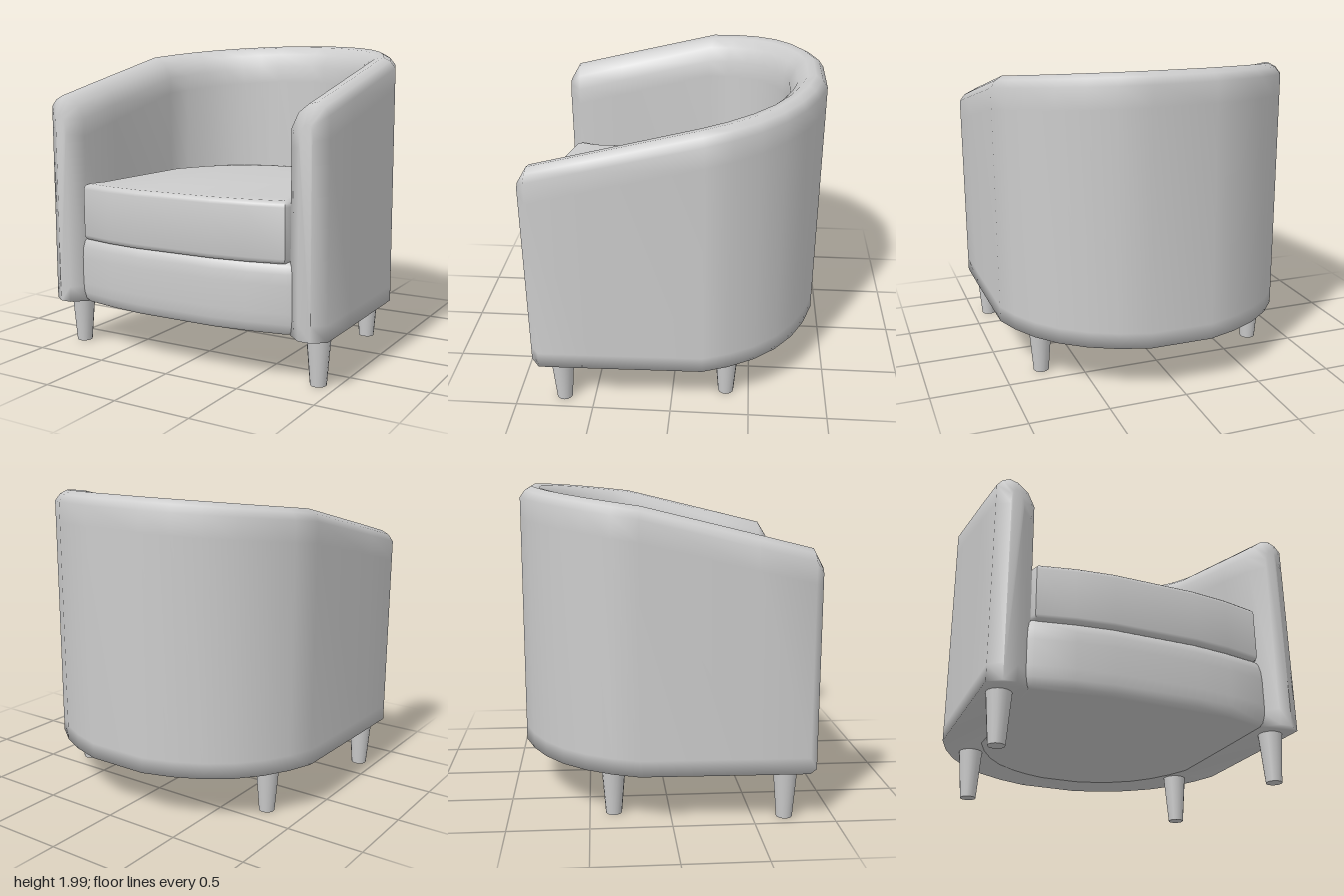
import * as THREE from 'three';
import { toCreasedNormals } from 'three/addons/utils/BufferGeometryUtils.js';

const material = new THREE.MeshStandardMaterial({ color: 0xcccccc });
const BOTTOM = 0.31;

function addMesh(group, name, geometry) {
  const mesh = new THREE.Mesh(geometry, material);
  mesh.name = name;
  group.add(mesh);
  return mesh;
}

// Height of the padded rim: steep along the arms, gentle round the back
const rimHeight = (z) => (z > -0.16 ? 1.66 + (0.84 - z) * 0.25 : 1.91 + (-0.16 - z) * 0.13);

// Wraparound shell: one rounded wall profile swept along a U
function shellGeometry() {
  // left half from the front: outer x, outer z, inner x, inner z
  const half = [
    [0.92, 0.89, 0.84, 0.89],
    [1.0, 0.83, 0.752, 0.81],
    [0.995, 0.5, 0.75, 0.5],
    [0.98, -0.2, 0.74, -0.15],
    [0.92, -0.36, 0.68, -0.29],
    [0.83, -0.52, 0.6, -0.42],
    [0.71, -0.66, 0.5, -0.53],
    [0.56, -0.775, 0.38, -0.61],
    [0.39, -0.86, 0.255, -0.665],
    [0.2, -0.92, 0.13, -0.7],
  ];
  const mirrored = half.map(([a, b, c, d]) => [-a, b, -c, d]).reverse();
  const sections = [...half, ...mirrored];
  // position across the wall (0 outer, 1 inner) and drop below the rim
  const crown = [[0, 0.2], [0, 0.07], [0.14, 0.025], [0.33, 0], [0.55, 0.01], [0.82, 0.06], [1, 0.15], [1, 0.26]];
  const positions = [];
  const index = [];
  const n = crown.length + 4;
  sections.forEach(([ox, oz, ix, iz], s) => {
    const isEnd = s === 0 || s === sections.length - 1;
    const top = isEnd ? 1.55 : rimHeight((oz + iz) / 2);
    const rows = [[0, BOTTOM], [0, BOTTOM + 0.1], ...crown.map(([u, drop]) => [u, top - drop * (isEnd ? 0.5 : 1)]),
      [1, BOTTOM + 0.1], [1, BOTTOM]];
    for (const [u, y] of rows) positions.push(ox + (ix - ox) * u, y, oz + (iz - oz) * u);
  });
  for (let s = 0; s < sections.length - 1; s++) {
    for (let j = 0; j < n; j++) {
      const k = (j + 1) % n;
      const a = s * n + j, b = a + n, c = s * n + k, d = c + n;
      index.push(a, b, c, b, d, c);
    }
  }
  // front faces of the two arms
  const last = (sections.length - 1) * n;
  for (let j = 1; j < n - 1; j++) {
    index.push(0, j, j + 1, last, last + j + 1, last + j);
  }
  const geometry = new THREE.BufferGeometry();
  geometry.setAttribute('position', new THREE.Float32BufferAttribute(positions, 3));
  geometry.setIndex(index);
  geometry.computeVertexNormals();
  return geometry;
}

// Horizontal padded slab from half an outline of [x, z] points
function slabGeometry(half, bottom, top, bevelSize, bevelThickness) {
  const outline = [...half, ...half.map(([x, z]) => [-x, z]).reverse()];
  const shape = new THREE.Shape(outline.map(([x, z]) => new THREE.Vector2(x, z)));
  const geometry = new THREE.ExtrudeGeometry(shape, {
    depth: top - bottom - 2 * bevelThickness,
    bevelSize, bevelThickness, bevelOffset: -bevelSize, bevelSegments: 3,
  });
  geometry.rotateX(Math.PI / 2);
  geometry.translate(0, top - bevelThickness, 0);
  return toCreasedNormals(geometry, 0.9);
}

export function createModel() {
  const group = new THREE.Group();
  group.name = 'tubArmchair';

  addMesh(group, 'backAndArms', shellGeometry());

  // Seat cushion with a bowed front and slight lips in front of the arms
  const cushion = [[0.27, 0.925], [0.5, 0.9], [0.735, 0.85], [0.752, 0.8], [0.72, 0.7], [0.715, -0.15],
    [0.6, -0.4], [0.5, -0.52], [0.38, -0.605], [0.25, -0.665], [0.12, -0.7]];
  addMesh(group, 'seatCushion', slabGeometry(cushion, 0.73, 1.1, 0.035, 0.035));

  // Upholstered base, its sides and back buried in the shell
  const base = [[0.27, 0.92], [0.5, 0.895], [0.74, 0.85], [0.82, 0.8], [0.82, -0.15],
    [0.68, -0.42], [0.45, -0.64], [0.15, -0.76]];
  addMesh(group, 'seatBase', slabGeometry(base, BOTTOM + 0.002, 0.74, 0.035, 0.13));

  // Tapered legs, the back pair set closer together
  for (const [name, x, z] of [['frontLeg', 0.885, 0.7], ['backLeg', 0.755, -0.35]]) {
    for (const side of [1, -1]) {
      const leg = addMesh(group, (side > 0 ? 'left ' : 'right ') + name,
        new THREE.CylinderGeometry(0.078, 0.05, 0.34, 16));
      leg.position.set(side * x, 0.17, z);
    }
  }
  return group;
}
